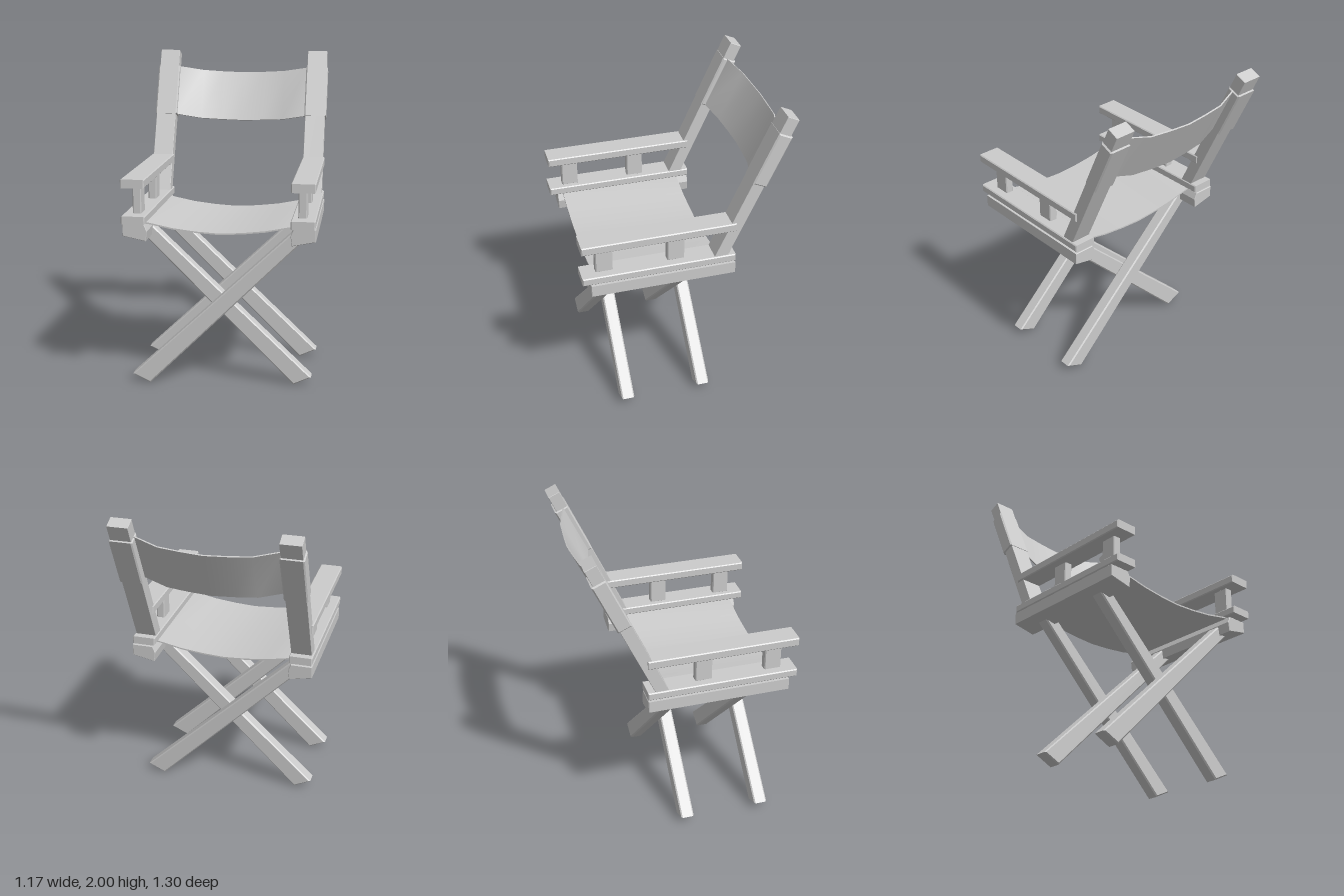
import * as THREE from 'three';
import { toCreasedNormals } from 'three/addons/utils/BufferGeometryUtils.js';

const material = new THREE.MeshStandardMaterial({ color: 0xcccccc });

// Bevelled prism from a closed 2D outline, extruded along z from z0 to z1
function prism(points, z0, z1, bevel = 0.006) {
  const shape = new THREE.Shape(points.map(([x, y]) => new THREE.Vector2(x, y)));
  const geometry = new THREE.ExtrudeGeometry(shape, {
    depth: z1 - z0 - 2 * bevel,
    bevelSize: bevel, bevelThickness: bevel, bevelOffset: -bevel, bevelSegments: 1,
  });
  return geometry.translate(0, 0, z0 + bevel);
}

// Side outline given as [z, y], extruded along x from x0 to x1
const sidePrism = (points, x0, x1, bevel) => prism(points, -x1, -x0, bevel).rotateY(-Math.PI / 2);

const rect = (a0, a1, b0, b1) => [[a0, b0], [a1, b0], [a1, b1], [a0, b1]];

// Thin cloth: each section holds x and the [y, z] of its two edges; offset gives the thickness
function cloth(sections, [oy, oz]) {
  const positions = [];
  const indices = [];
  for (const [x, [ay, az], [by, bz]] of sections) {
    positions.push(x, ay, az, x, by, bz, x, by + oy, bz + oz, x, ay + oy, az + oz);
  }
  for (let i = 0; i < sections.length - 1; i++) {
    for (let k = 0; k < 4; k++) {
      const a = i * 4 + k, d = i * 4 + (k + 1) % 4;
      indices.push(a, a + 4, d + 4, a, d + 4, d);
    }
  }
  const geometry = new THREE.BufferGeometry();
  geometry.setAttribute('position', new THREE.Float32BufferAttribute(positions, 3));
  geometry.setIndex(indices);
  return toCreasedNormals(geometry, 0.6);
}

// Mirror half sections (x from the centre outwards) across x = 0
const mirrored = (half) => [
  ...half.slice(1).reverse().map(([x, a, b]) => [-x, a, b]),
  ...half,
];

export function createModel() {
  const chair = new THREE.Group();
  chair.name = 'foldingChair';
  const add = (name, geometry, parent = chair) => {
    const mesh = new THREE.Mesh(geometry, material);
    mesh.name = name;
    parent.add(mesh);
  };

  // Arm assemblies, one on each side
  for (const [side, s] of [['left', 1], ['right', -1]]) {
    const arm = new THREE.Group();
    arm.name = side + 'Arm';
    chair.add(arm);
    const [x0, x1] = s > 0 ? [0.435, 0.58] : [-0.58, -0.435];
    const span = (a, b) => (s > 0 ? [a, b] : [-b, -a]);

    add('armrest', sidePrism(rect(-0.3, 0.65, 1.27, 1.324), x0, x1), arm);
    add('lowerRail', sidePrism(rect(-0.3, 0.65, 1.05, 1.1), x0, x1), arm);

    // Seat block with a sloping underside
    const block = [[0.44, 0.938], [0.583, 0.967], [0.583, 1.042], [0.45, 1.042], [0.432, 1.0]];
    add('seatBlock', prism(block.map(([x, y]) => [x * s, y]), -0.3, 0.6, 0.003), arm);

    // Short posts between the rail and the armrest
    for (const z of [0.507, 0.063]) {
      add('armPost', sidePrism(rect(z - 0.053, z + 0.053, 1.095, 1.275), ...span(0.473, 0.526)), arm);
    }

    // Leaning back upright and the cloth sleeve around it
    const upright = [[-0.25, 1.09], [-0.165, 1.09], [-0.58, 2.0], [-0.65, 1.968]];
    add('backUpright', sidePrism(upright, ...span(0.44, 0.57), 0.002), arm);
    const sleeve = [[-0.472, 1.548], [-0.388, 1.586], [-0.532, 1.902], [-0.616, 1.864]];
    add('backSleeve', sidePrism(sleeve, ...span(0.433, 0.578), 0.008), arm);
  }

  // Crossed legs: each pair is two bars side by side in z
  const leg = [[-0.447, 0], [0.53, 0.975], [0.47, 1.03], [-0.557, 0.053]];
  for (const [name, z] of [['front', 0.427], ['back', -0.08]]) {
    add(name + 'LegToLeft', prism(leg, z, z + 0.085, 0.008));
    add(name + 'LegToRight', prism(leg.map(([x, y]) => [-x, y]), z - 0.082, z, 0.008));
  }

  // Sagging seat cloth, clamped between block and rail
  const seat = [[0, 0.993], [0.14, 1.001], [0.28, 1.017], [0.435, 1.048], [0.575, 1.05]];
  add('seatCloth', cloth(mirrored(seat.map(([x, y]) => [x, [y, 0.565], [y, -0.222]])), [-0.009, 0]));

  // Backrest cloth, bowed backwards
  const back = [
    [0, [1.537, -0.478], [1.848, -0.627]],
    [0.14, [1.542, -0.47], [1.853, -0.619]],
    [0.28, [1.55, -0.457], [1.862, -0.608]],
    [0.435, [1.58, -0.415], [1.89, -0.56]],
    [0.5, [1.58, -0.415], [1.89, -0.56]],
  ];
  add('backCloth', cloth(mirrored(back), [-0.004, -0.008]));

  return chair;
}
